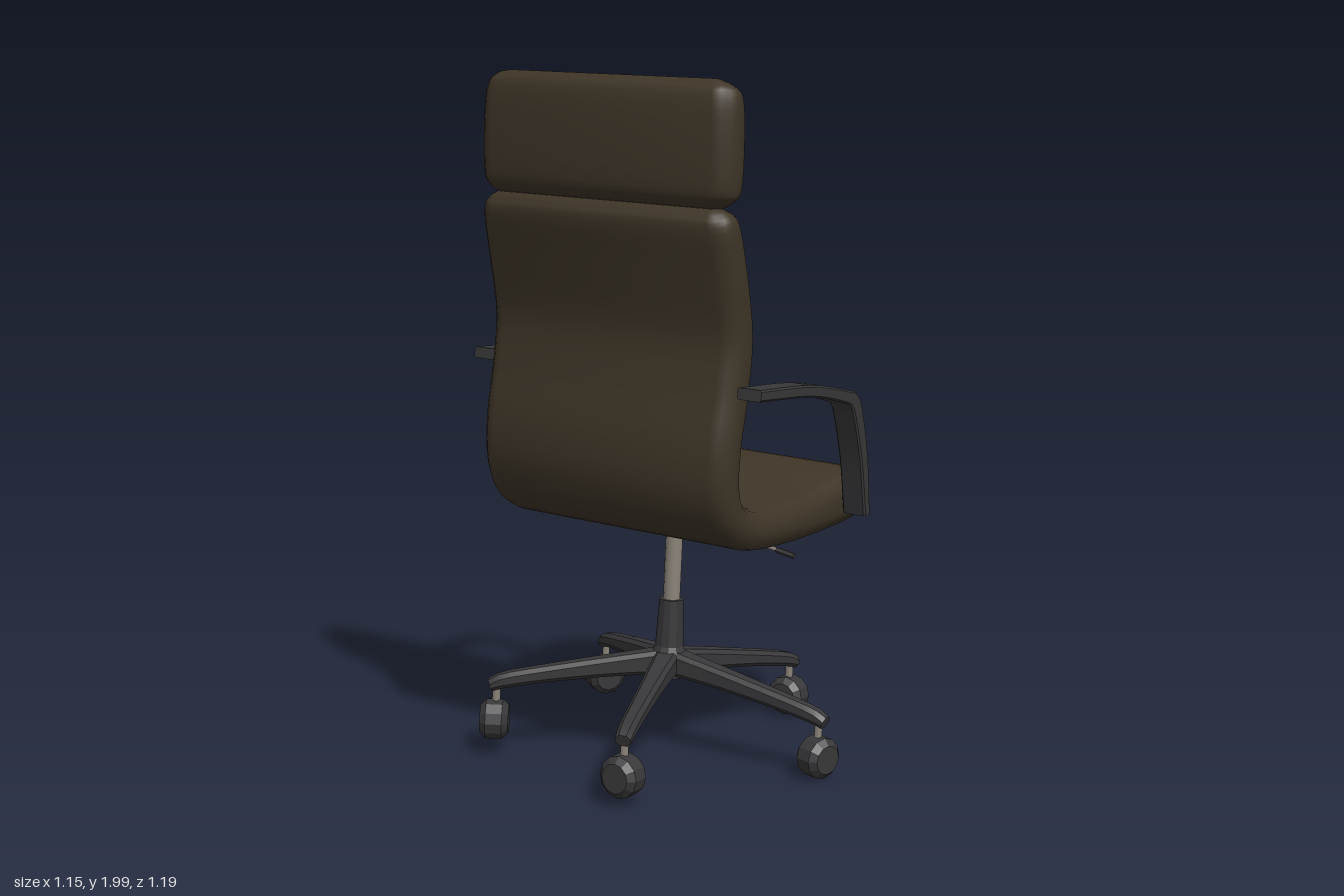
import * as THREE from 'three';
import { toCreasedNormals } from 'three/addons/utils/BufferGeometryUtils.js';

const paint = (color, flatShading = false) => new THREE.MeshStandardMaterial({ color, flatShading });
const fabric = paint(0x3e3527);
const plastic = paint(0x38383a);
const plasticFlat = paint(0x38383a, true);
const metal = paint(0x8c857a);

// Rounded-rectangle sections swept along a path in the z-y plane.
// Each station is [z, y, half thickness, half width].
function loft(stations, steps, radius, cornerSegs, crease) {
  const path = new THREE.CatmullRomCurve3(stations.map(s => new THREE.Vector3(0, s[1], s[0])), false, 'catmullrom', 0.5);
  const size = new THREE.CatmullRomCurve3(stations.map(s => new THREE.Vector3(s[2], s[3], 0)), false, 'catmullrom', 0.5);
  const ring = 4 * (cornerSegs + 1), pos = [], idx = [];
  for (let i = 0; i <= steps; i++) {
    const p = path.getPoint(i / steps), t = path.getTangent(i / steps), s = size.getPoint(i / steps);
    const r = Math.min(radius, s.x * 0.95, s.y * 0.95);
    for (let c = 0; c < 4; c++) {
      for (let k = 0; k <= cornerSegs; k++) {
        const a = (c + k / cornerSegs) * Math.PI / 2;
        const sx = c === 0 || c === 3 ? 1 : -1, sn = c < 2 ? 1 : -1;
        const x = sx * (s.y - r) + r * Math.cos(a), n = sn * (s.x - r) + r * Math.sin(a);
        pos.push(x, p.y - n * t.z, p.z + n * t.y);
      }
    }
  }
  for (let i = 0; i < steps; i++) {
    for (let j = 0; j < ring; j++) {
      const a = i * ring + j, b = i * ring + (j + 1) % ring;
      idx.push(a, a + ring, b, b, a + ring, b + ring);
    }
  }
  // End caps
  const last = steps * ring;
  for (let j = 1; j < ring - 1; j++) {
    idx.push(0, j, j + 1, last, last + j + 1, last + j);
  }
  const g = new THREE.BufferGeometry();
  g.setAttribute('position', new THREE.Float32BufferAttribute(pos, 3));
  g.setIndex(idx);
  return toCreasedNormals(g, crease);
}

function add(parent, name, geometry, material, x = 0, y = 0, z = 0) {
  const mesh = new THREE.Mesh(geometry, material);
  mesh.name = name;
  mesh.position.set(x, y, z);
  parent.add(mesh);
  return mesh;
}

function lathe(points, sides) {
  return new THREE.LatheGeometry(points.map(p => new THREE.Vector2(p[0], p[1])), sides);
}

function buildUpper() {
  const upper = new THREE.Group();
  upper.name = 'seatAndBack';

  // Seat and backrest are one continuous padded shell
  add(upper, 'seatShell', loft([
    [0.51, 0.772, 0.02, 0.3], [0.49, 0.776, 0.045, 0.355], [0.43, 0.781, 0.068, 0.398],
    [0.32, 0.778, 0.077, 0.412], [0.15, 0.756, 0.066, 0.413], [-0.05, 0.748, 0.06, 0.414],
    [-0.2, 0.757, 0.058, 0.414], [-0.297, 0.8, 0.058, 0.414], [-0.342, 0.88, 0.058, 0.414],
    [-0.347, 1.0, 0.06, 0.414], [-0.325, 1.15, 0.062, 0.414], [-0.318, 1.3, 0.062, 0.414],
    [-0.36, 1.47, 0.06, 0.414], [-0.397, 1.59, 0.056, 0.41], [-0.405, 1.623, 0.045, 0.395],
    [-0.407, 1.642, 0.02, 0.365],
  ], 60, 0.05, 3, 0.9), fabric);

  add(upper, 'headrest', loft([
    [-0.395, 1.64, 0.02, 0.365], [-0.397, 1.66, 0.045, 0.396], [-0.398, 1.69, 0.057, 0.41],
    [-0.402, 1.81, 0.06, 0.412], [-0.405, 1.92, 0.055, 0.408], [-0.403, 1.954, 0.042, 0.39],
    [-0.4, 1.971, 0.018, 0.35],
  ], 24, 0.05, 3, 0.9), fabric);

  // Armrests: a straight rail, a tight bend and a sloping post
  const armGeometry = loft([
    [-0.365, 1.16, 0.016, 0.037], [-0.1, 1.147, 0.017, 0.037], [0.1, 1.112, 0.019, 0.037],
    [0.152, 1.092, 0.024, 0.037], [0.18, 1.045, 0.024, 0.037], [0.225, 0.92, 0.021, 0.037],
    [0.262, 0.75, 0.016, 0.037],
  ], 24, 0.005, 1, 0.5);
  add(upper, 'leftArmrest', armGeometry, plastic, 0.452, 0.008, 0.018);
  add(upper, 'rightArmrest', armGeometry, plastic, -0.457);

  // Tilt mechanism and its lever
  add(upper, 'tiltKnob', new THREE.CylinderGeometry(0.05, 0.05, 0.1, 16), plastic, -0.01, 0.665, 0.158);
  const lever = add(upper, 'lever', new THREE.CylinderGeometry(0.006, 0.006, 0.3, 6), metal, -0.16, 0.64, 0.152);
  lever.rotation.z = -Math.PI / 2 + 0.15;
  const grip = add(upper, 'leverGrip', new THREE.CylinderGeometry(0.009, 0.009, 0.06, 6), plasticFlat, -0.29, 0.62, 0.152);
  grip.rotation.z = lever.rotation.z;

  upper.rotation.y = THREE.MathUtils.degToRad(149);
  return upper;
}

function buildBase() {
  const base = new THREE.Group();
  base.name = 'base';

  // Column
  add(base, 'hub', lathe([[0, 0.225], [0.045, 0.225], [0.05, 0.3], [0.042, 0.32], [0.036, 0.46], [0, 0.46]], 12), plasticFlat);
  add(base, 'gasLift', new THREE.CylinderGeometry(0.025, 0.025, 0.26, 12), metal, 0, 0.57, 0);
  add(base, 'topCollar', new THREE.CylinderGeometry(0.055, 0.045, 0.03, 12), plasticFlat, 0, 0.69, 0);

  // Five legs with casters, each wheel swivelled a little
  const legGeometry = loft([
    [0.02, 0.272, 0.036, 0.036], [0.18, 0.252, 0.029, 0.031], [0.36, 0.225, 0.024, 0.027],
    [0.48, 0.203, 0.022, 0.025], [0.525, 0.186, 0.018, 0.022],
  ], 10, 0.012, 1, 0.5);
  const wheelGeometry = lathe([
    [0, -0.042], [0.042, -0.042], [0.06, -0.024], [0.06, 0.024], [0.042, 0.042], [0, 0.042],
  ], 12).rotateX(Math.PI / 2);
  [20, 20, 5, 0, -16].forEach((swivel, i) => {
    const leg = new THREE.Group();
    leg.name = 'leg' + (i + 1);
    add(leg, 'spoke', legGeometry, plastic);
    add(leg, 'casterStem', new THREE.CylinderGeometry(0.012, 0.012, 0.07, 8), metal, 0, 0.16, 0.505);
    const wheel = add(leg, 'casterWheel', wheelGeometry, plasticFlat, 0, 0.083, 0.508);
    wheel.rotation.y = -THREE.MathUtils.degToRad(swivel);
    leg.rotation.y = THREE.MathUtils.degToRad(90 - 28 - i * 72);
    base.add(leg);
  });
  return base;
}

export function createModel() {
  const model = new THREE.Group();
  model.name = 'officeChair';
  // The whole chair leans slightly sideways
  const lean = new THREE.Group();
  lean.name = 'chair';
  lean.add(buildUpper(), buildBase());
  lean.rotation.z = -0.045;
  lean.position.set(-0.03, 0, 0);
  model.add(lean);
  return model;
}
